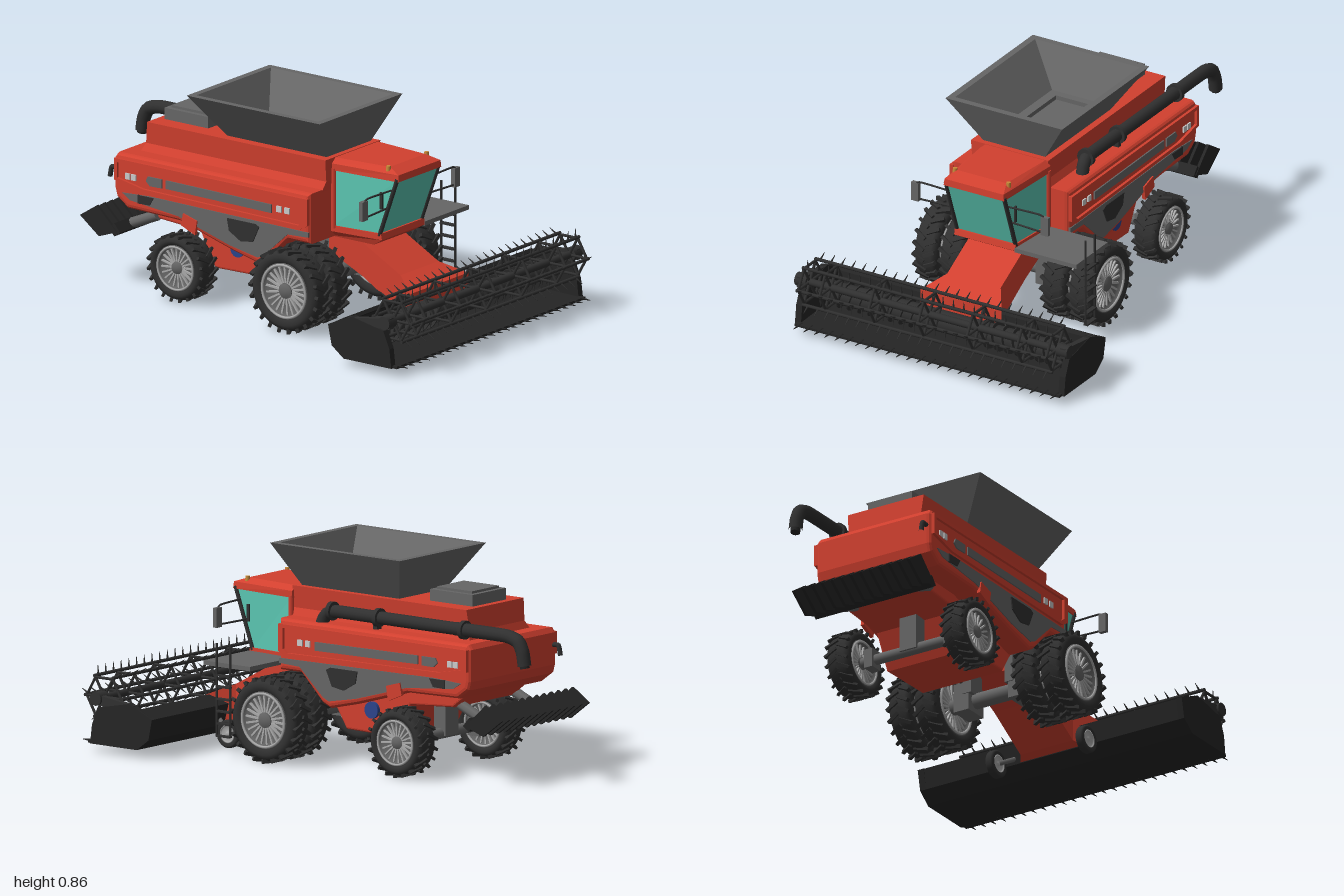
import * as THREE from 'three';
import { mergeGeometries } from 'three/addons/utils/BufferGeometryUtils.js';

const V = (x, y, z) => new THREE.Vector3(x, y, z);
const paint = (color) => new THREE.MeshStandardMaterial({ color });

// Solid skin over a series of equal-length rings, flat shaded
function loft(rings) {
  const pos = [], tri = (...p) => p.forEach((v) => pos.push(...v));
  const n = rings[0].length;
  for (let i = 0; i + 1 < rings.length; i++) {
    const a = rings[i], b = rings[i + 1];
    for (let j = 0; j < n; j++) {
      const k = (j + 1) % n;
      tri(a[j], a[k], b[k]);
      tri(a[j], b[k], b[j]);
    }
  }
  const first = rings[0], last = rings[rings.length - 1];
  for (let j = 1; j + 1 < n; j++) {
    tri(first[0], first[j + 1], first[j]);
    tri(last[0], last[j], last[j + 1]);
  }
  const g = new THREE.BufferGeometry();
  g.setAttribute('position', new THREE.Float32BufferAttribute(pos, 3));
  g.computeVertexNormals();
  return g;
}
// Horizontal rectangle, optionally narrower at the front
const rectY = (y, x0, x1, zb, zf, t = 0) => [[x0, y, zb], [x0 + t, y, zf], [x1 - t, y, zf], [x1, y, zb]];
const rectZ = (z, y0, y1, h) => [[-h, y0, z], [h, y0, z], [h, y1, z], [-h, y1, z]];

// Side outline in (z, y), extruded from x0 to x1
function slab(pts, x0, x1, bevel = 0, hole) {
  const toShape = (p) => p.map(([z, y]) => new THREE.Vector2(-z, y));
  const s = new THREE.Shape(toShape(pts));
  if (hole) s.holes.push(new THREE.Path(toShape(hole)));
  const g = new THREE.ExtrudeGeometry(s, {
    depth: x1 - x0 - 2 * bevel, bevelEnabled: bevel > 0, bevelSize: bevel,
    bevelThickness: bevel, bevelOffset: -bevel, bevelSegments: 3,
  });
  return g.rotateY(Math.PI / 2).translate(x0 + bevel, 0, 0);
}
function rod(a, b, r, tip = r, seg = 8) {
  const d = b.clone().sub(a);
  const g = new THREE.CylinderGeometry(tip, r, d.length(), seg);
  g.applyQuaternion(new THREE.Quaternion().setFromUnitVectors(V(0, 1, 0), d.clone().normalize()));
  return g.translate(...a.clone().add(b).multiplyScalar(0.5).toArray());
}
const box = (w, h, d, x, y, z) => new THREE.BoxGeometry(w, h, d).translate(x, y, z);
const tube = (pts, r, seg = 24) =>
  new THREE.TubeGeometry(new THREE.CatmullRomCurve3(pts.map((p) => V(...p)), false, 'catmullrom', 0.3), seg, r, 12);

export function createModel() {
  const root = new THREE.Group();
  const red = paint(0xd2402f), dark = paint(0x303030), black = paint(0x252525), grey = paint(0x666666),
    rimGrey = paint(0xaaaaaa), glass = paint(0x5cc8b4), amber = paint(0xc98a3a), blue = paint(0x2c448c), white = paint(0xcccccc);
  const add = (name, geo, mat, parent = root) => {
    const m = new THREE.Mesh(Array.isArray(geo) ? mergeGeometries(geo) : geo, mat);
    m.name = name;
    parent.add(m);
    return m;
  };
  const cx = -0.027; // the body sits slightly off centre

  // Main body, belly and upper deck
  add('mainBody', slab([[0.24, 0.36], [0.13, 0.36], [0.02, 0.25], [-0.02, 0.232], [-0.16, 0.265], [-0.42, 0.34],
    [-0.68, 0.345], [-0.735, 0.385], [-0.745, 0.42], [-0.745, 0.55], [-0.73, 0.57], [0.24, 0.57]], cx - 0.275, cx + 0.275, 0.02), red);
  add('belly', slab([[0.16, 0.38], [0.0, 0.24], [-0.06, 0.145], [-0.315, 0.14], [-0.39, 0.28], [-0.61, 0.295], [-0.69, 0.36]], -0.2, 0.19, 0.01), red);
  add('upperDeck', loft([rectY(0.56, -0.225, 0.165, -0.675, 0.24), rectY(0.6, -0.2, 0.145, -0.66, 0.245), rectY(0.69, -0.207, 0.155, -0.65, 0.245)]), red);
  add('engineCover', [box(0.21, 0.05, 0.22, cx, 0.712, -0.51), box(0.17, 0.012, 0.18, cx, 0.741, -0.51)], grey);

  // Side trim, mirrored about the body centre line
  for (const s of [-1, 1]) {
    const side = new THREE.Group();
    side.name = s > 0 ? 'leftTrim' : 'rightTrim';
    root.add(side);
    const plate = (name, pts, t, mat, hole) =>
      add(name, slab(pts, s > 0 ? cx + 0.27 : cx - 0.275 - t, s > 0 ? cx + 0.275 + t : cx - 0.27, 0, hole), mat, side);
    plate('panelFrame', [[0.235, 0.55], [-0.735, 0.55], [-0.735, 0.46], [-0.6, 0.43], [0.2, 0.42], [0.235, 0.44]], 0.012, red,
      [[0.21, 0.535], [0.21, 0.45], [0.19, 0.435], [-0.59, 0.445], [-0.72, 0.47], [-0.72, 0.535]]);
    plate('sideStripe', [[0.05, 0.495], [-0.48, 0.5], [-0.48, 0.465], [0.05, 0.46]], 0.006, grey);
    plate('sideVent', [[-0.5, 0.5], [-0.57, 0.5], [-0.58, 0.48], [-0.56, 0.462], [-0.5, 0.463]], 0.006, grey);
    for (const z of [0.14, 0.1, -0.63, -0.66]) plate('sideLamp', [[z, 0.495], [z - 0.024, 0.495], [z - 0.024, 0.47], [z, 0.47]], 0.006, white);
    plate('lowerPanel', [[0.235, 0.41], [-0.56, 0.418], [-0.7, 0.41], [-0.66, 0.385], [-0.42, 0.362], [-0.16, 0.288], [-0.02, 0.262], [0.01, 0.275], [0.13, 0.385], [0.235, 0.39]], 0.004, grey);
    plate('accessHatch', [[-0.01, 0.39], [-0.03, 0.4], [-0.17, 0.4], [-0.16, 0.35], [-0.1, 0.315], [-0.04, 0.325]], 0.009, dark);
    plate('lowerVent', [[-0.54, 0.415], [-0.62, 0.415], [-0.62, 0.38], [-0.56, 0.382]], 0.008, dark);
    plate('hinge', [[-0.32, 0.36], [-0.39, 0.38], [-0.4, 0.33], [-0.33, 0.3]], 0.01, red);
    add('roundCap', rod(V(s * 0.18, 0.24, -0.2), V(s * 0.205, 0.24, -0.2), 0.034, 0.034, 24), blue, side);
  }

  // Open grain hopper
  add('grainHopper', loft([rectY(0.69, -0.165, 0.125, -0.28, 0.22), rectY(0.87, -0.3, 0.245, -0.38, 0.287),
    rectY(0.87, -0.272, 0.217, -0.352, 0.259), rectY(0.715, -0.14, 0.09, -0.265, 0.19),
    rectY(0.715, -0.1, 0.05, -0.23, 0.13), rectY(0.697, -0.1, 0.05, -0.23, 0.13)]), grey);

  // Unloading auger
  add('unloadingAuger', tube([[0.2, 0.555, 0.06], [0.195, 0.6, 0.04], [0.19, 0.617, -0.01], [0.19, 0.617, -0.3], [0.19, 0.617, -0.65]], 0.026, 40), dark);
  add('augerSpout', tube([[0.19, 0.617, -0.63], [0.19, 0.617, -0.88], [0.19, 0.6, -0.945], [0.19, 0.56, -0.968], [0.19, 0.505, -0.978]], 0.028, 40), dark);
  add('augerBands', [0.02, -0.22, -0.66].map((z) => rod(V(0.19, 0.617, z), V(0.19, 0.617, z - 0.018), 0.038, 0.038, 20)), dark);
  add('spoutLip', rod(V(0.19, 0.515, -0.976), V(0.19, 0.495, -0.98), 0.02, 0.02, 12), black);
  add('augerRest', box(0.03, 0.06, 0.02, 0.19, 0.58, -0.22), dark);
  add('rearHandle', tube([[-0.28, 0.5, -0.74], [-0.28, 0.5, -0.77], [-0.28, 0.46, -0.78]], 0.01), dark);

  // Cab
  add('cabGlass', loft([rectY(0.405, -0.157, 0.157, 0.245, 0.465, 0.022), rectY(0.645, -0.157, 0.157, 0.245, 0.553, 0.022)]), glass);
  add('cabRoof', loft([rectY(0.64, -0.163, 0.163, 0.24, 0.562, 0.022), rectY(0.668, -0.163, 0.163, 0.24, 0.56, 0.025), rectY(0.688, -0.14, 0.14, 0.24, 0.5, 0.025)]), red);
  add('cabBase', loft([rectY(0.355, -0.13, 0.13, 0.2, 0.43), rectY(0.385, -0.162, 0.162, 0.24, 0.48, 0.02), rectY(0.41, -0.162, 0.162, 0.24, 0.475, 0.02)]), red);
  for (const s of [-1, 1]) {
    add('frontPillar', rod(V(s * 0.136, 0.4, 0.463), V(s * 0.136, 0.65, 0.553), 0.009), dark);
    add('rearPillar', rod(V(s * 0.157, 0.4, 0.25), V(s * 0.157, 0.65, 0.25), 0.011), red);
    add('beacon', rod(V(s * 0.125, 0.665, 0.5), V(s * 0.125, 0.695, 0.5), 0.011, 0.009, 12), amber);
    add('mirror', box(0.034, 0.08, 0.018, s * 0.303, 0.55, 0.51), grey);
    add('mirrorBracket', tube([[s * 0.14, 0.6, 0.525], [s * 0.28, 0.597, 0.515], [s * 0.303, 0.575, 0.51], [s * 0.303, 0.53, 0.51], [s * 0.28, 0.52, 0.51], [s * 0.14, 0.52, 0.5]], 0.004, 40), dark);
    add('doorHandle', box(0.008, 0.07, 0.012, s * 0.145, 0.55, 0.48), dark);
  }

  // Boarding platform and ladder
  add('platform', box(0.29, 0.018, 0.24, 0.285, 0.388, 0.36), grey);
  add('ladder', [...[0.34, 0.41].map((z) => rod(V(0.43, 0.1, z), V(0.43, 0.475, z), 0.005)),
    ...[0.1, 0.15, 0.2, 0.25, 0.3, 0.345].map((y) => box(0.02, 0.007, 0.07, 0.43, y, 0.375))], dark);

  // Wheels
  function wheel(name, x, y, z, R, w, ri, lugs = 0) {
    const g = new THREE.Group();
    g.name = name;
    g.position.set(x, y, z);
    root.add(g);
    const turn = (p) => new THREE.LatheGeometry(p.map(([r, h]) => new THREE.Vector2(r, h)), 40).rotateZ(-Math.PI / 2);
    const T = lugs ? R * 0.95 : R, h = w / 2;
    add('tyre', turn([[ri, -h * 0.75], [ri * 1.05, -h * 0.9], [T * 0.85, -h], [T * 0.95, -h * 0.85], [T, -h * 0.6],
      [T, h * 0.6], [T * 0.95, h * 0.85], [T * 0.85, h], [ri * 1.05, h * 0.9], [ri, h * 0.75]]), dark, g);
    add('rim', turn([[0, -h * 0.75], [ri * 0.26, -h * 0.75], [ri * 0.3, -h * 0.45], [ri * 0.86, -h * 0.5], [ri * 0.9, -h * 0.85], [ri * 1.02, -h * 0.88],
      [ri * 1.02, h * 0.88], [ri * 0.9, h * 0.85], [ri * 0.86, h * 0.5], [ri * 0.3, h * 0.45], [ri * 0.26, h * 0.75], [0, h * 0.75]]), lugs ? grey : rimGrey, g);
    if (!lugs) return;
    const treads = [], spokes = [];
    for (let i = 0; i < lugs; i++) for (const s of [-1, 1]) {
      const a = ((i + s * 0.25) / lugs) * 2 * Math.PI;
      treads.push(new THREE.BoxGeometry(w * 0.55, R * 0.1, R * 0.08).rotateY(s * 0.5).translate(s * w * 0.24, R * 0.95, 0).rotateX(a));
      spokes.push(box(w * 0.12, ri * 0.66, ri * 0.07, s * h * 0.52, ri * 0.6, 0).rotateX(a));
    }
    add('treadLugs', treads, dark, g);
    add('spokes', spokes, rimGrey, g);
    add('rimRing', [-1, 1].map((s) => new THREE.TorusGeometry(ri * 0.94, ri * 0.05, 6, 40).rotateY(Math.PI / 2).translate(s * h * 0.88, 0, 0)), rimGrey, g);
  }
  for (const s of [-1, 1]) {
    wheel('outerFrontWheel', s * 0.361, 0.182, 0.19, 0.174, 0.106, 0.115, 22);
    wheel('innerFrontWheel', s * 0.238, 0.182, 0.19, 0.174, 0.11, 0.115, 22);
    wheel('rearWheel', s * 0.275, 0.148, -0.42, 0.14, 0.11, 0.094, 20);
    wheel('gaugeWheel', s * 0.215, 0.065, 0.52, 0.057, 0.036, 0.036);
    add('gaugeArm', rod(V(s * 0.215, 0.065, 0.52), V(s * 0.17, 0.12, 0.62), 0.01), grey);
    add('axleHousing', box(0.07, 0.12, 0.11, s * 0.13, 0.19, 0.19), grey);
    add('axleBracket', box(0.04, 0.18, 0.08, s * 0.1, 0.29, 0.17), grey);
    add('steeringKnuckle', box(0.04, 0.08, 0.06, s * 0.19, 0.15, -0.42), grey);
  }
  add('frontAxle', rod(V(-0.4, 0.182, 0.19), V(0.4, 0.182, 0.19), 0.032, 0.032, 16), grey);
  add('rearAxle', [rod(V(-0.3, 0.148, -0.42), V(0.3, 0.148, -0.42), 0.022, 0.022, 16), box(0.08, 0.16, 0.06, 0, 0.22, -0.42)], grey);

  // Feeder house
  add('feederHouse', loft([rectZ(0.2, 0.29, 0.4, 0.125), rectZ(0.37, 0.212, 0.352, 0.125), rectZ(0.56, 0.1, 0.25, 0.125), rectZ(0.66, 0.07, 0.205, 0.19)]), red);

  // Header trough, ends, auger and cutter bar
  add('headerTrough', slab([[0.92, 0.04], [0.66, 0.04], [0.6, 0.085], [0.585, 0.17], [0.65, 0.205], [0.66, 0.192],
    [0.605, 0.162], [0.615, 0.095], [0.67, 0.055], [0.92, 0.05]], -0.62, 0.62), black);
  add('headerAuger', rod(V(-0.61, 0.125, 0.72), V(0.61, 0.125, 0.72), 0.045, 0.045, 20), dark);
  const flights = [], guards = [];
  for (let i = 0; i < 26; i++) {
    const x = -0.6 + i * 0.048;
    if (Math.abs(x) > 0.15) flights.push(new THREE.CylinderGeometry(0.06, 0.06, 0.005, 20).rotateZ(Math.PI / 2 + Math.sign(x) * 0.3).translate(x, 0.125, 0.72));
    guards.push(rod(V(x, 0.047, 0.9), V(x, 0.047, 0.96), 0.008, 0.001, 6));
  }
  add('augerFlights', flights, dark);
  add('cutterGuards', guards, black);
  for (const s of [-1, 1]) {
    const x = s * 0.616;
    add('headerEnd', slab([[0.9, 0.04], [0.66, 0.04], [0.6, 0.085], [0.582, 0.17], [0.70, 0.222], [0.86, 0.19], [0.89, 0.12]], x - 0.014, x + 0.014), black);
    add('reelArm', slab([[0.89, 0.2], [0.68, 0.19], [0.68, 0.215], [0.89, 0.245]], x - 0.012, x + 0.012), dark);
    add('reelBearing', rod(V(s * 0.585, 0.225, 0.867), V(s * 0.637, 0.225, 0.867), 0.028, 0.028, 16), dark);
  }

  // Reel with hexagonal spiders and tined bars
  const reel = new THREE.Group();
  reel.name = 'reel';
  reel.position.set(0, 0.225, 0.868);
  root.add(reel);
  const at = (x, a, r) => V(x, r * Math.sin(a), r * Math.cos(a));
  const bars = [], spiders = [], tines = [];
  for (let i = 0; i < 6; i++) {
    const a = (i * Math.PI) / 3, b = a + Math.PI / 3, r = 0.095;
    bars.push(rod(at(-0.585, a, r), at(0.585, a, r), 0.007, 0.007, 6));
    for (const x of [-0.58, -0.48, -0.25, -0.02, 0.21, 0.44, 0.58]) {
      spiders.push(rod(V(x, 0, 0), at(x, a, r), 0.006, 0.006, 6), rod(at(x, a, r * 0.93), at(x, b, r * 0.93), 0.006, 0.006, 6));
    }
    for (let k = 0; k < 24; k++) {
      const p = at(-0.56 + k * 0.0487, a, r);
      tines.push(rod(p, p.clone().add(at(0, a + 0.5, 0.04)), 0.005, 0.001, 5));
    }
  }
  add('reelShaft', rod(V(-0.6, 0, 0), V(0.6, 0, 0), 0.015, 0.015, 12), dark, reel);
  add('reelBars', bars, dark, reel);
  add('reelSpiders', spiders, dark, reel);
  add('reelTines', tines, dark, reel);

  // Straw spreader
  for (let i = 0; i < 13; i++) {
    const x = -0.302 + i * 0.0457;
    add('spreaderFin', slab([[-0.725, 0.24], [-0.825, 0.335], [-0.91, 0.28], [-0.815, 0.208]], x - 0.006, x + 0.006), black);
  }
  add('spreaderBeam', slab([[-0.71, 0.24], [-0.74, 0.275], [-0.765, 0.25], [-0.74, 0.22]], -0.305, 0.25), black);
  for (const x of [-0.2, 0.15]) add('spreaderBracket', rod(V(x, 0.31, -0.6), V(x, 0.25, -0.74), 0.022), grey);
  return root;
}
